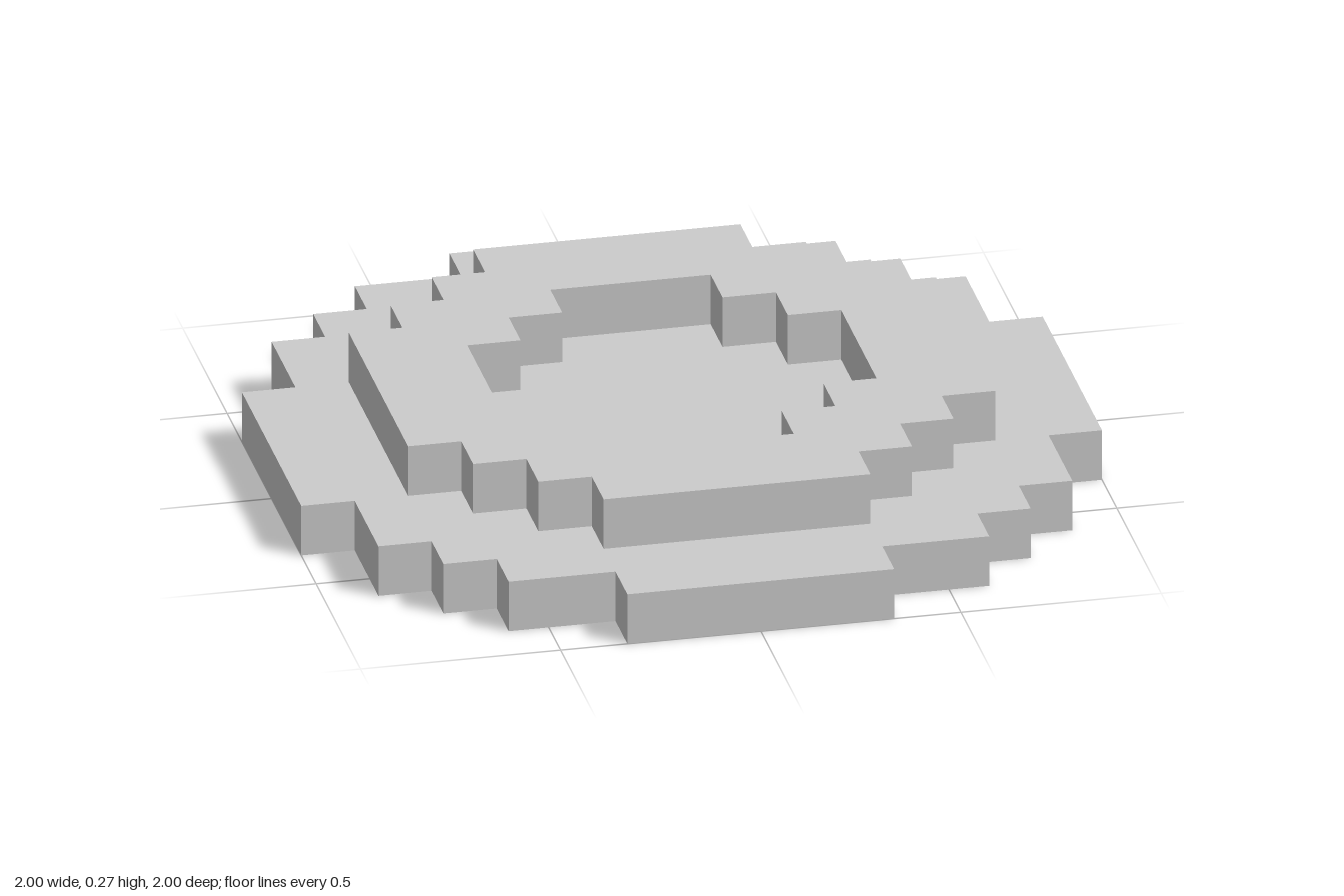
import * as THREE from 'three';

const CELL = 2 / 15; // the model is 15 cells wide and 2 cells tall

// Stair-stepped round outline: the corners of one quadrant, turned four times.
// Each step is [x, y] in cells, from the side towards the end.
function steppedOutline(steps) {
  const quadrant = [];
  steps.forEach(([x, y], i) => {
    quadrant.push([x, y]);
    if (i < steps.length - 1) quadrant.push([steps[i + 1][0], y]);
  });
  const points = [];
  for (let turn = 0; turn < 4; turn++) {
    for (const [x, y] of quadrant) {
      const [px, py] = [[x, y], [-y, x], [-x, -y], [y, -x]][turn];
      points.push(new THREE.Vector2(px * CELL, py * CELL));
    }
  }
  return points;
}

// One-cell-thick slab standing on the given layer
function slab(name, shape, layer, material) {
  const geometry = new THREE.ExtrudeGeometry(shape, { depth: CELL, bevelEnabled: false });
  geometry.rotateX(-Math.PI / 2);
  const mesh = new THREE.Mesh(geometry, material);
  mesh.name = name;
  mesh.position.y = layer * CELL;
  return mesh;
}

export function createModel() {
  const group = new THREE.Group();
  group.name = 'steppedDisc';
  const material = new THREE.MeshStandardMaterial({ color: 0xcccccc, flatShading: true });

  // Wide solid base
  const base = new THREE.Shape(
    steppedOutline([[7.5, 2.5], [6.5, 4.5], [5.5, 5.5], [4.5, 6.5], [2.5, 7.5]])
  );
  group.add(slab('base', base, 0, material));

  // Raised ring around a shallow recess
  const ring = new THREE.Shape(
    steppedOutline([[5.5, 2.5], [4.5, 3.5], [3.5, 4.5], [2.5, 5.5]])
  );
  ring.holes.push(new THREE.Path(steppedOutline([[3.5, 1.5], [2.5, 2.5], [1.5, 3.5]])));
  group.add(slab('raisedRing', ring, 1, material));

  return group;
}
